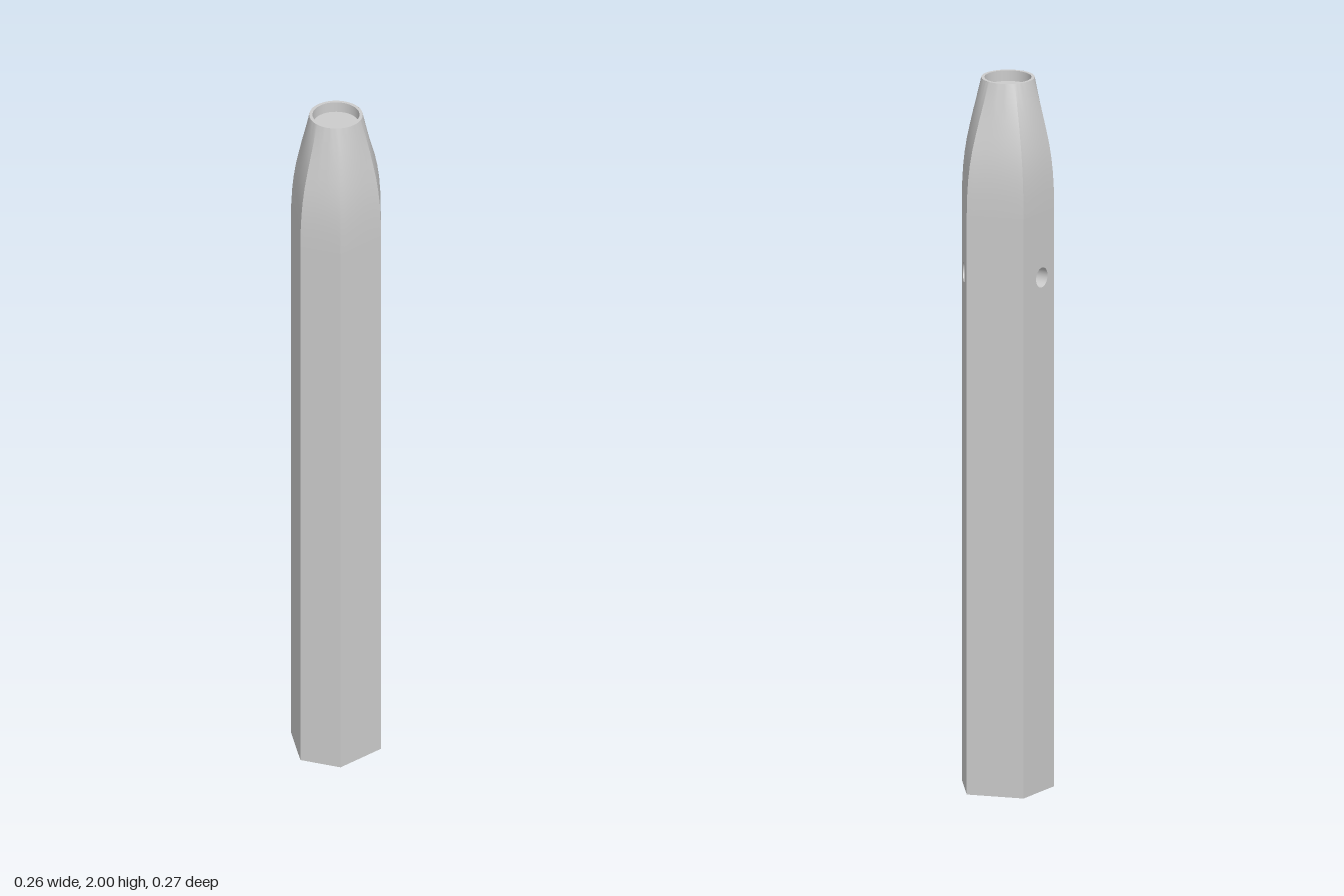
import * as THREE from 'three';
import { toCreasedNormals } from 'three/addons/utils/BufferGeometryUtils.js';

const material = new THREE.MeshStandardMaterial({ color: 0xcccccc, side: THREE.DoubleSide });
const CZ = 0.006;          // z of the nose axis
const SHOULDER = 1.64;     // height where the straight sides end
const RIM = 0.073, BORE = 0.064, BORE_DEPTH = 0.03;
const HOLE_R = 0.028, HOLE_Y = 1.455, HOLE_OFFSET = 0.06, HOLE_DEPTH = 0.04;

// Irregular hexagon [x, z], starting at the front and running past +x to the back
const HEX = [[-0.058, 0.134], [0.058, 0.134], [0.13, CZ], [0.08, -0.134], [-0.08, -0.134], [-0.13, CZ]];

// Nose profile: [height, blend from hexagon to circle]
const NOSE = [[SHOULDER, 0], [1.69, 0.015], [1.74, 0.065], [1.78, 0.14], [1.82, 0.25],
  [1.86, 0.4], [1.9, 0.56], [1.95, 0.78], [2, 1]];

function add(parent, name, geometry) {
  const mesh = new THREE.Mesh(geometry, material);
  mesh.name = name;
  parent.add(mesh);
  return mesh;
}

// Nose lofted from the hexagon up to the round rim
function noseGeometry() {
  const steps = 10, outline = [];
  HEX.forEach(([x, z], i) => {
    const [x2, z2] = HEX[(i + 1) % 6];
    for (let k = 0; k < steps; k++) {
      outline.push([x + (x2 - x) * k / steps, z + (z2 - z) * k / steps]);
    }
  });
  const n = outline.length, positions = [], index = [];
  NOSE.forEach(([y, t], j) => {
    outline.forEach(([x, z], i) => {
      const r = Math.hypot(x, z - CZ);
      const s = 1 - t + t * RIM / r;
      positions.push(x * s, y, CZ + (z - CZ) * s);
      if (j < NOSE.length - 1) {
        const a = j * n + i, b = j * n + (i + 1) % n;
        index.push(a, b, a + n, b, b + n, a + n);
      }
    });
  });
  const geometry = new THREE.BufferGeometry();
  geometry.setAttribute('position', new THREE.Float32BufferAttribute(positions, 3));
  geometry.setIndex(index);
  return toCreasedNormals(geometry, 0.35);
}

export function createModel() {
  const model = new THREE.Group();
  model.name = 'hexagonalSleeve';

  // Six flat sides, two of them with a round blind hole; the bottom stays open
  HEX.forEach(([x, z], i) => {
    const [x2, z2] = HEX[(i + 1) % 6];
    const width = Math.hypot(x2 - x, z2 - z);
    const side = new THREE.Group();
    side.name = 'side' + (i + 1);
    side.position.set(x, 0, z);
    side.rotation.y = Math.atan2(z - z2, x2 - x);
    model.add(side);

    const shape = new THREE.Shape([
      new THREE.Vector2(0, 0), new THREE.Vector2(width, 0),
      new THREE.Vector2(width, SHOULDER), new THREE.Vector2(0, SHOULDER),
    ]);
    if (i === 2 || i === 4) {
      const u = i === 2 ? HOLE_OFFSET : width - HOLE_OFFSET;
      shape.holes.push(new THREE.Path().absarc(u, HOLE_Y, HOLE_R, 0, Math.PI * 2, true));
      const wall = add(side, 'holeWall',
        new THREE.CylinderGeometry(HOLE_R, HOLE_R, HOLE_DEPTH, 24, 1, true));
      wall.rotation.x = Math.PI / 2;
      wall.position.set(u, HOLE_Y, -HOLE_DEPTH / 2);
      add(side, 'holeFloor', new THREE.CircleGeometry(HOLE_R, 24))
        .position.set(u, HOLE_Y, -HOLE_DEPTH);
    }
    add(side, 'sidePanel', new THREE.ShapeGeometry(shape, 12));
  });

  add(model, 'nose', noseGeometry());

  // Round rim with a shallow recess in the tip
  const rim = add(model, 'tipRim', new THREE.RingGeometry(BORE, RIM, 60));
  rim.rotation.x = -Math.PI / 2;
  rim.position.set(0, 2, CZ);
  add(model, 'recessWall', new THREE.CylinderGeometry(BORE, BORE, BORE_DEPTH, 60, 1, true))
    .position.set(0, 2 - BORE_DEPTH / 2, CZ);
  const floor = add(model, 'recessFloor', new THREE.CircleGeometry(BORE, 60));
  floor.rotation.x = -Math.PI / 2;
  floor.position.set(0, 2 - BORE_DEPTH, CZ);

  return model;
}
